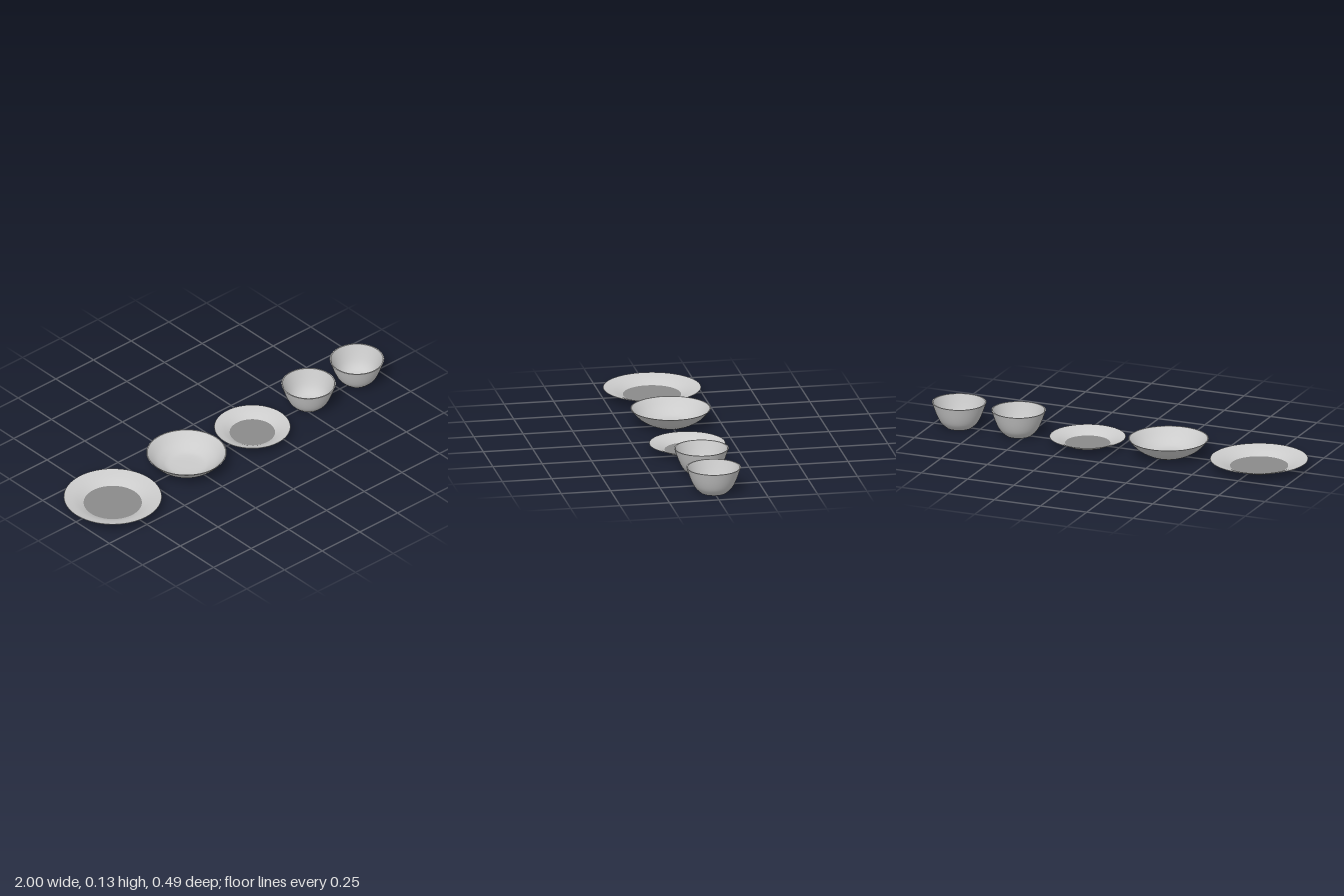
import * as THREE from 'three';

const SEGMENTS = 64;

// Sharp corners stay as they are; curved walls are sampled from a spline.
const curve = (pts, n = 12) =>
  new THREE.SplineCurve(pts.map(([x, y]) => new THREE.Vector2(x, y))).getPoints(n);

function lathe(name, points, color = 0xcccccc) {
  const mesh = new THREE.Mesh(
    new THREE.LatheGeometry(points, SEGMENTS),
    new THREE.MeshStandardMaterial({ color, side: THREE.DoubleSide })
  );
  mesh.name = name;
  return mesh;
}

function disc(name, radius, y, up, color = 0xcccccc) {
  const mesh = new THREE.Mesh(
    new THREE.CircleGeometry(radius, SEGMENTS),
    new THREE.MeshStandardMaterial({ color })
  );
  mesh.name = name;
  mesh.rotation.x = up ? -Math.PI / 2 : Math.PI / 2;
  mesh.position.y = y;
  return mesh;
}

// A vessel has an outer wall, an inner wall, a thin lip and a flat base.
function vessel(name, x, outer, inner) {
  const group = new THREE.Group();
  group.name = name;
  group.position.x = x;
  const outside = curve(outer);
  const inside = curve(inner).reverse();
  group.add(
    lathe('outerWall', outside),
    lathe('lip', [outside[outside.length - 1], inside[0]]),
    lathe('innerWall', inside),
    disc('base', outer[0][0], 0, false)
  );
  return group;
}

// Shallow plate with a sloping rim and a darker flat centre.
function plate(name, x, r, h) {
  const s = r / 0.244;
  const p = vessel(name, x,
    [[0.132 * s, 0], [0.16 * s, h * 0.24], [0.195 * s, h * 0.58], [r, h * 0.97]],
    [[0.145 * s, h * 0.13], [0.163 * s, h * 0.36], [0.195 * s, h * 0.68], [r - 0.001, h]]);
  p.add(disc('centre', 0.145 * s, h * 0.13, true, 0x8b8b8b));
  return p;
}

export function createModel() {
  const set = new THREE.Group();
  set.name = 'tableware';

  set.add(plate('dinnerPlate', -0.756, 0.244, 0.042));
  set.add(plate('sidePlate', 0.17, 0.19, 0.039));

  // Wide soup bowl
  set.add(vessel('soupBowl', -0.267,
    [[0.088, 0], [0.125, 0.017], [0.162, 0.042], [0.2, 0.084]],
    [[0, 0.006], [0.085, 0.008], [0.123, 0.023], [0.158, 0.046], [0.195, 0.084]]));

  // Two matching deep bowls
  for (const [i, x] of [0.543, 0.864].entries()) {
    set.add(vessel(`deepBowl${i + 1}`, x,
      [[0.066, 0], [0.094, 0.028], [0.115, 0.07], [0.136, 0.129]],
      [[0, 0.006], [0.057, 0.008], [0.088, 0.032], [0.109, 0.072], [0.13, 0.129]]));
  }
  return set;
}
